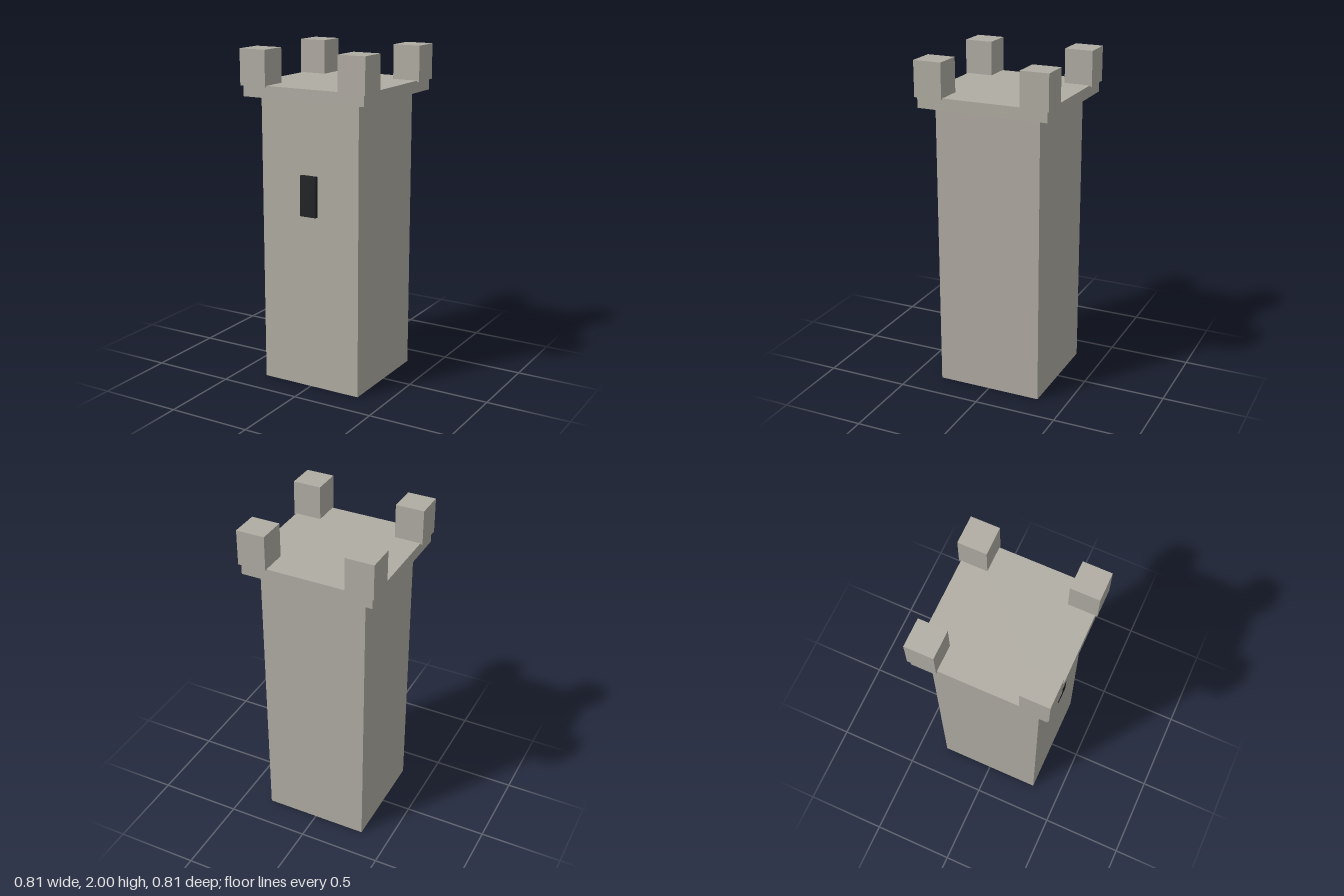
import * as THREE from 'three';

const stone = new THREE.MeshStandardMaterial({ color: 0xb0aca3 });
stone.name = 'stone';
const dark = new THREE.MeshStandardMaterial({ color: 0x202224 });
dark.name = 'windowDark';

// Box from its size, bottom height and centre in plan
function block(name, material, [w, h, d], x, bottom, z) {
  const mesh = new THREE.Mesh(new THREE.BoxGeometry(w, h, d), material);
  mesh.name = name;
  mesh.position.set(x, bottom + h / 2, z);
  return mesh;
}

export function createModel() {
  const tower = new THREE.Group();
  tower.name = 'tower';

  // Square shaft and overhanging platform
  tower.add(block('shaft', stone, [0.642, 1.73, 0.642], 0, 0, 0));
  tower.add(block('platform', stone, [0.79, 0.07, 0.79], 0, 1.727, 0));

  // Corner merlons, sunk slightly into the platform
  const battlements = new THREE.Group();
  battlements.name = 'battlements';
  for (const sx of [-1, 1]) {
    for (const sz of [-1, 1]) {
      const name = `merlon${sz > 0 ? 'Front' : 'Back'}${sx > 0 ? 'Left' : 'Right'}`;
      battlements.add(block(name, stone, [0.17, 0.21, 0.17], sx * 0.322, 1.79, sz * 0.322));
    }
  }
  tower.add(battlements);

  // Window slab standing proud of the front wall
  tower.add(block('window', dark, [0.104, 0.24, 0.04], 0, 1.052, 0.322));
  return tower;
}
